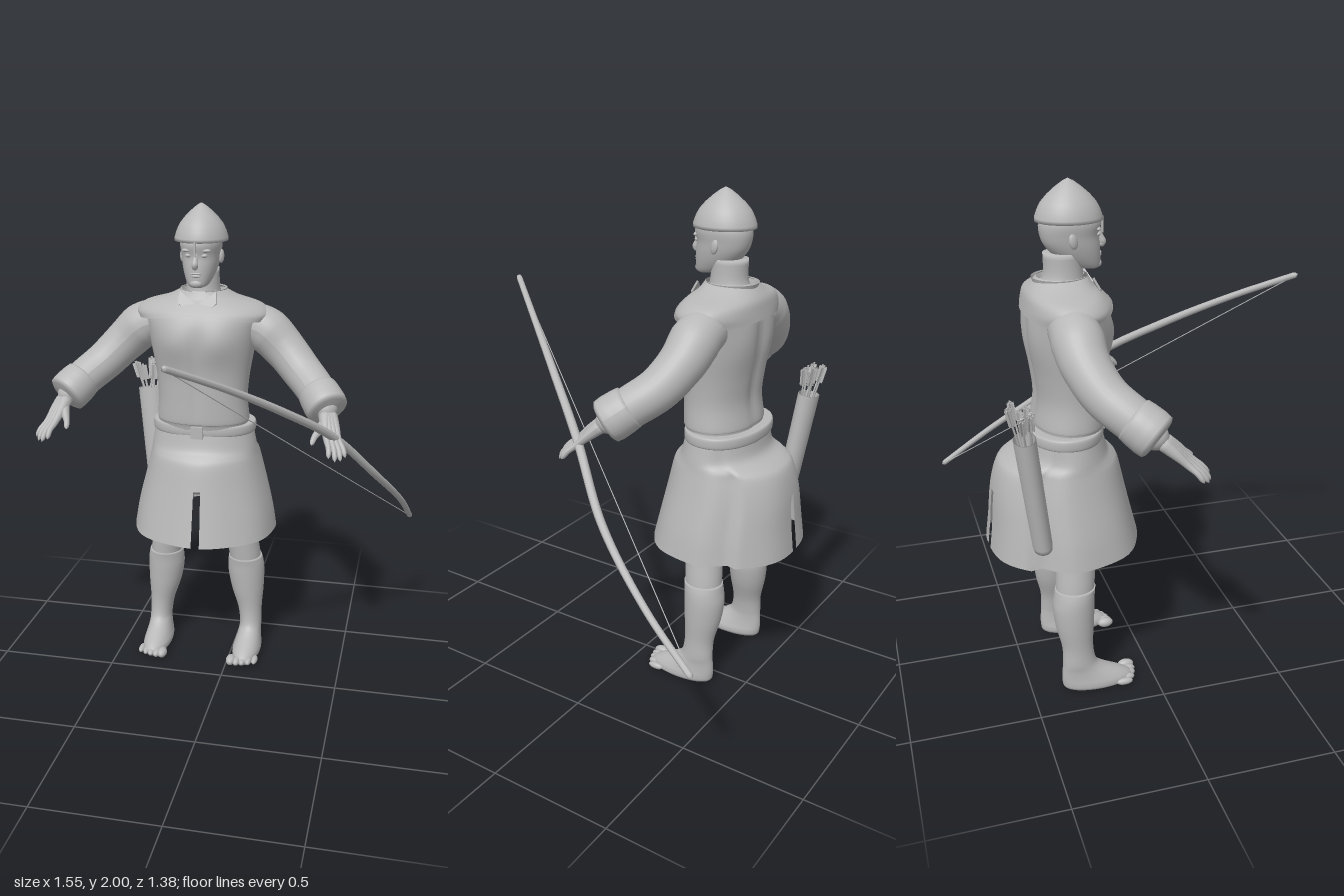
import * as THREE from 'three';

const clay = new THREE.MeshStandardMaterial({ color: 0xb8b8b8, side: THREE.DoubleSide });
clay.name = 'plain grey';

const V = (x, y, z) => new THREE.Vector3(x, y, z);

function add(parent, name, geometry) {
  const mesh = new THREE.Mesh(geometry, clay);
  mesh.name = name;
  parent.add(mesh);
  return mesh;
}

// Smooth loft through level rings [y, centreX, halfWidth, zFront, zBack], listed bottom to top.
function loft(keys, { n = 48, power = 2, steps = 4, open = false, skip = () => false, bend = null } = {}) {
  const curves = [0, 1, 2, 3, 4].map(i => new THREE.CatmullRomCurve3(keys.map((k, a) => V(a, k[i], 0))));
  const rows = (keys.length - 1) * steps;
  const pos = [], idx = [], level = [];
  const squash = t => Math.sign(t) * Math.pow(Math.abs(t), 2 / power);
  for (let r = 0; r <= rows; r++) {
    const [y, cx, hx, zf, zb] = curves.map(c => c.getPoint(r / rows).y);
    level.push(y);
    for (let j = 0; j < n; j++) {
      const a = j / n * Math.PI * 2;
      const p = V(cx + hx * squash(Math.sin(a)), y, (zf + zb) / 2 + (zf - zb) / 2 * squash(Math.cos(a)));
      if (bend) bend(p, a, r / rows);
      pos.push(p.x, p.y, p.z);
    }
  }
  for (let r = 0; r < rows; r++) for (let j = 0; j < n; j++) {
    if (skip(level[r], j)) continue;
    const a = r * n + j, b = r * n + (j + 1) % n;
    idx.push(a, b, b + n, a, b + n, a + n);
  }
  if (!open) for (const r of [0, rows]) {
    const k = keys[r ? keys.length - 1 : 0], c = pos.length / 3;
    pos.push(k[1], k[0], (k[3] + k[4]) / 2);
    for (let j = 0; j < n; j++) {
      const a = r * n + j, b = r * n + (j + 1) % n;
      r ? idx.push(a, b, c) : idx.push(b, a, c);
    }
  }
  const g = new THREE.BufferGeometry();
  g.setAttribute('position', new THREE.Float32BufferAttribute(pos, 3));
  g.setIndex(idx);
  g.computeVertexNormals();
  return g;
}

// Round limb along a curve with changing radius and rounded ends.
function limb(points, radii, seg = 24, sides = 20) {
  const curve = new THREE.CatmullRomCurve3(points);
  const g = new THREE.TubeGeometry(curve, seg, 1, sides);
  const p = g.attributes.position;
  for (let i = 0; i <= seg; i++) {
    const u = i / seg, t = u * (radii.length - 1), k = Math.min(Math.floor(t), radii.length - 2);
    const end = i === 0 || i === seg ? 0 : i === 1 || i === seg - 1 ? 0.85 : 1;
    const r = end * THREE.MathUtils.lerp(radii[k], radii[k + 1], t - k);
    const c = curve.getPointAt(u);
    for (let j = 0; j <= sides; j++) {
      const q = i * (sides + 1) + j;
      const v = V().fromBufferAttribute(p, q).sub(c).multiplyScalar(r).add(c);
      p.setXYZ(q, v.x, v.y, v.z);
    }
  }
  g.computeVertexNormals();
  return g;
}

function ball(parent, name, x, y, z, sx, sy, sz) {
  const m = add(parent, name, new THREE.SphereGeometry(1, 16, 12));
  m.position.set(x, y, z);
  m.scale.set(sx, sy, sz);
  return m;
}

function buildHead(body) {
  add(body, 'neck', loft([[1.59, 0, .1, -.195, -.4], [1.63, 0, .078, -.208, -.374], [1.67, 0, .069, -.215, -.36], [1.74, 0, .067, -.22, -.36]]));
  add(body, 'head', loft([[1.675, 0, .022, -.16, -.2], [1.685, 0, .042, -.15, -.25], [1.72, 0, .06, -.148, -.31],
    [1.76, 0, .072, -.15, -.35], [1.8, 0, .078, -.154, -.368], [1.85, 0, .082, -.146, -.37], [1.9, 0, .06, -.18, -.34]], { power: 2.2 }));
  add(body, 'nose', limb([V(0, 1.815, -.156), V(0, 1.785, -.144), V(0, 1.762, -.138), V(0, 1.755, -.152)], [.008, .01, .014, .01], 12, 12));
  add(body, 'noseGuard', new THREE.BoxGeometry(.006, .06, .008)).position.set(0, 1.83, -.138);
  ball(body, 'upperLip', 0, 1.733, -.151, .024, .005, .007);
  ball(body, 'lowerLip', 0, 1.723, -.151, .02, .006, .007);
  ball(body, 'chin', 0, 1.692, -.156, .025, .016, .013);
  for (const s of [-1, 1]) {
    ball(body, 'eye', s * .032, 1.803, -.164, .014, .008, .011);
    ball(body, 'brow', s * .034, 1.823, -.165, .026, .008, .012);
    ball(body, 'ear', s * .081, 1.79, -.265, .01, .028, .017).rotation.set(-.2, s * -.3, 0);
  }
  // Pointed helmet
  const profile = [[.085, 1.857], [.108, 1.853], [.108, 1.866], [.1, 1.892], [.088, 1.918], [.068, 1.944], [.042, 1.97], [.018, 1.99], [0, 2]];
  const helmet = add(body, 'helmet', new THREE.LatheGeometry(profile.map(q => new THREE.Vector2(...q)), 48));
  helmet.scale.z = 1.14;
  helmet.position.z = -.262;
}

function buildTorso(body) {
  // Chest, belly and spine modelling
  const muscles = p => {
    const bump = (x, y, w, h) => Math.exp(-(((Math.abs(p.x) - x) / w) ** 2) - ((p.y - y) / h) ** 2);
    if (p.z > -.28) p.z += .018 * bump(.09, 1.45, .08, .07) - .01 * bump(0, 1.3, .02, .2);
    else p.z += .018 * bump(0, 1.35, .03, .2) - .008 * bump(.1, 1.47, .06, .08);
  };
  add(body, 'torso', loft([[1.0, 0, .19, -.17, -.43], [1.09, 0, .195, -.152, -.42], [1.11, 0, .198, -.145, -.422], [1.2, 0, .191, -.143, -.41],
    [1.3, 0, .199, -.14, -.42], [1.4, 0, .216, -.13, -.435], [1.5, 0, .235, -.13, -.435], [1.56, 0, .245, -.148, -.43],
    [1.6, 0, .2, -.175, -.42], [1.63, 0, .1, -.19, -.39]], { n: 64, power: 2.15, bend: muscles }));
  // Shoulder cape, its lower edge rising at the middle
  add(body, 'cape', loft([[1.535, 0, .27, -.118, -.446], [1.565, 0, .28, -.135, -.44], [1.598, 0, .243, -.16, -.432],
    [1.624, 0, .15, -.182, -.414], [1.655, 0, .088, -.198, -.385]], {
    n: 64, power: 2.1, open: true,
    bend: (p, a, u) => { p.y += .03 * (Math.cos(a) ** 4 - (Math.cos(a) < 0 ? 1.2 * Math.cos(a) ** 2 : 0)) * (1 - u) ** 2; },
  }));
  // Flared collar, open at the throat
  const collar = add(body, 'collar', new THREE.LatheGeometry(
    [[.088, 1.6], [.09, 1.63], [.098, 1.655]].map(q => new THREE.Vector2(...q)), 40, .3, Math.PI * 2 - .6));
  collar.position.z = -.3;
  collar.scale.z = 1.08;
  for (const s of [-1, 1]) {
    const flap = new THREE.Shape([[0, 0], [.075, .06], [.08, .01], [.045, -.02]].map(q => new THREE.Vector2(s * q[0], q[1])));
    const m = add(body, 'collarFlap', new THREE.ExtrudeGeometry(flap, { depth: .008, bevelEnabled: false }));
    m.position.set(0, 1.6, -.168);
    m.rotation.x = -.5;
  }
}

function buildSkirt(body) {
  const n = 60;
  // Slits at front and back
  const slit = (y, j) => (j === 0 && y < .83) || (j === n / 2 && y < .8);
  add(body, 'skirt', loft([[.595, 0, .318, -.016, -.618], [.7, 0, .3, -.042, -.605], [.83, 0, .268, -.072, -.592],
    [.93, 0, .243, -.095, -.565], [.96, 0, .236, -.115, -.53], [.99, 0, .228, -.14, -.468], [1.06, 0, .214, -.158, -.45]], {
    n, power: 2.05, open: true, skip: slit,
    // Soft folds, and side panels that tuck in under the back flap
    bend: (p, a, u) => {
      const turn = Math.PI - Math.abs(a - Math.PI);
      const tuck = turn < 2.12 ? THREE.MathUtils.smoothstep(turn, 1.6, 2.1) * .1 * Math.min(1, (1 - u) * 2) : 0;
      const fold = 1 + .012 * Math.sin(a * 7 + 1) * (1 - u) - tuck;
      p.x *= fold;
      p.z = -.31 + (p.z + .31) * fold;
    },
  }));
  add(body, 'belt', loft([[1.045, 0, .21, -.168, -.445], [1.048, 0, .221, -.158, -.456], [1.068, 0, .224, -.155, -.459],
    [1.088, 0, .221, -.158, -.456], [1.091, 0, .205, -.168, -.445]], { power: 2.15 }));
  add(body, 'buckle', new THREE.BoxGeometry(.052, .052, .02)).position.set(0, 1.067, -.152);
  add(body, 'pelvis', loft([[.76, 0, .1, -.22, -.38], [.83, 0, .18, -.18, -.43], [1.03, 0, .195, -.17, -.44]]));
}

function buildLeg(body, s) {
  const rings = list => list.map(([y, x, ...rest]) => [y, s * x, ...rest]);
  add(body, 'leg', loft(rings([[.4, .185, .068, -.24, -.39], [.47, .18, .07, -.234, -.387], [.59, .162, .07, -.222, -.383],
    [.72, .14, .088, -.2, -.4], [.88, .12, .095, -.19, -.42]])));
  // Lower leg running smoothly into the foot
  add(body, 'lowerLeg', loft(rings([[.004, .208, .05, -.1, -.362], [.016, .208, .061, -.088, -.374], [.036, .208, .062, -.095, -.378],
    [.056, .209, .057, -.125, -.379], [.078, .21, .052, -.17, -.378], [.1, .211, .049, -.21, -.376], [.13, .212, .049, -.24, -.374],
    [.2, .206, .054, -.25, -.375], [.29, .194, .072, -.243, -.395], [.37, .187, .081, -.238, -.403], [.42, .185, .08, -.236, -.397],
    [.455, .183, .074, -.232, -.391]])));
  for (let i = 0; i < 5; i++) {
    const r = [.021, .0175, .0165, .0155, .014][i];
    ball(body, 'toe', s * (.158 + i * .0255), r + .006, -.1 - i * i * .002, r, r, .034);
  }
}

function buildArm(body, s) {
  const P = (x, y, z) => V(s * x, y, z);
  add(body, 'arm', limb([P(.16, 1.52, -.305), P(.255, 1.492, -.302), P(.335, 1.422, -.292), P(.42, 1.337, -.247), P(.495, 1.272, -.172), P(.565, 1.19, -.07)],
    [.085, .096, .086, .081, .078, .03], 40, 28));
  add(body, 'cuff', limb([P(.49, 1.282, -.18), P(.525, 1.245, -.135), P(.558, 1.21, -.092)], [.08, .086, .088, .083], 16, 32));
  // Fingers run back to the wrist and together form the palm
  const across = P(.78, -.1, -.45);
  for (let i = 0; i < 4; i++) {
    const o = i - 1.5, long = [.85, 1, .97, .8][i];
    const at = (x, y, z, spread) => P(x, y, z).addScaledVector(across, o * spread);
    add(body, 'finger', limb([at(.55, 1.21, -.09, .008), at(.568, 1.165, -.035, .016), at(.585, 1.125, .008, .019),
      at(.585 + .018 * long, 1.125 - .028 * long, .008 + .034 * long, .023), at(.585 + .028 * long, 1.125 - .066 * long, .008 + .062 * long, .027)],
    [.028, .022, .015, .011, .009], 20, 12));
  }
  add(body, 'thumb', limb([P(.55, 1.19, -.065), P(.53, 1.158, -.02), P(.512, 1.135, .015), P(.505, 1.112, .045)], [.024, .019, .013, .009], 16, 12));
}

function buildQuiver(body) {
  const quiver = new THREE.Group();
  quiver.name = 'quiver';
  const top = V(-.298, 1.155, -.508), bottom = V(-.245, .68, -.445);
  const length = top.distanceTo(bottom);
  quiver.position.copy(bottom);
  quiver.quaternion.setFromUnitVectors(V(0, 1, 0), top.clone().sub(bottom).normalize());
  quiver.scale.z = .75;
  const wall = [[0, 0], [.046, 0], [.05, .02], [.055, length], [.05, length], [.045, length - .15], [0, length - .15]];
  add(quiver, 'quiverCase', new THREE.LatheGeometry(wall.map(q => new THREE.Vector2(...q)), 24));
  for (let i = 0; i < 7; i++) {
    const a = i * 2.4, r = i ? .034 : 0;
    const arrow = new THREE.Group();
    arrow.name = 'arrow';
    arrow.position.set(Math.cos(a) * r, length, Math.sin(a) * r);
    arrow.rotation.set(Math.sin(a) * .15, 0, -Math.cos(a) * .25);
    const tip = .1 + (i % 3) * .013;
    add(arrow, 'shaft', new THREE.CylinderGeometry(.005, .005, .22, 8)).position.y = tip - .1;
    for (let k = 0; k < 3; k++) {
      const vane = add(arrow, 'feather', new THREE.BoxGeometry(.034, .065, .003));
      vane.position.y = tip - .03;
      vane.rotation.y = a + k * Math.PI / 3;
    }
    quiver.add(arrow);
  }
  body.add(quiver);
}

function buildBow(model) {
  const a = V(.763, .545, -.69), b = V(-.055, 1.565, .687);
  const path = [a, V(.715, .715, -.47), V(.61, .915, -.22), V(.455, 1.135, 0), V(.285, 1.3, .235), V(.115, 1.442, .465), b];
  add(model, 'bow', limb(path, [.012, .0135, .016, .017, .016, .0135, .012], 240, 12));
  add(model, 'bowString', new THREE.TubeGeometry(new THREE.LineCurve3(a, b), 1, .002, 6));
}

export function createModel() {
  const model = new THREE.Group();
  model.name = 'archer';
  const body = new THREE.Group();
  body.name = 'body';
  body.position.x = -.135;
  model.add(body);
  buildHead(body);
  buildTorso(body);
  buildSkirt(body);
  for (const s of [-1, 1]) {
    buildLeg(body, s);
    buildArm(body, s);
  }
  buildQuiver(body);
  buildBow(model);
  return model;
}
